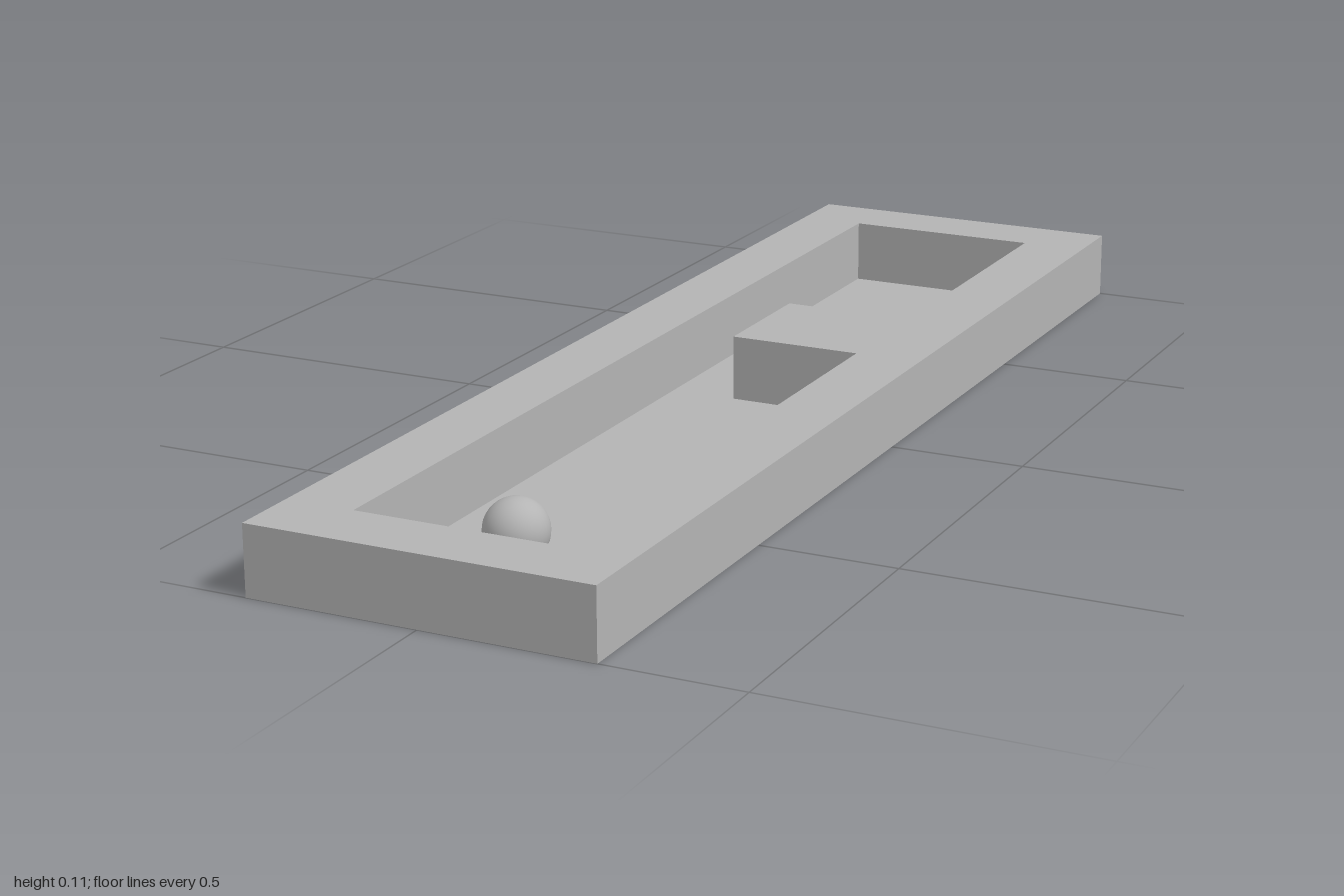
import * as THREE from 'three';

export function createModel() {
  const group = new THREE.Group();
  const grey = new THREE.MeshStandardMaterial({ color: 0xb4b4b4 });
  grey.name = 'grey';

  const u = 1 / 9; // one course unit
  const floorThickness = 0.003;

  const add = (name, geometry, x, y, z) => {
    const mesh = new THREE.Mesh(geometry, grey);
    mesh.name = name;
    mesh.position.set(x, y, z);
    group.add(mesh);
  };
  const points = (list) => list.map(([x, z]) => new THREE.Vector2(x * u, -z * u));

  // Thin floor under the whole tray
  add('floor', new THREE.BoxGeometry(5 * u, floorThickness, 18 * u), 0, floorThickness / 2, 0);

  // Surrounding wall with a square obstacle jutting into the lane from one side
  const wall = new THREE.Shape(points([[-2.5, 9], [2.5, 9], [2.5, -9], [-2.5, -9]]));
  wall.holes.push(new THREE.Path(points([
    [-1.5, 8], [-1.5, -8], [1.5, -8], [1.5, -3],
    [-0.5, -3], [-0.5, -1], [1.5, -1], [1.5, 8],
  ])));
  const wallGeometry = new THREE.ExtrudeGeometry(wall, { depth: u - floorThickness, bevelEnabled: false });
  wallGeometry.rotateX(-Math.PI / 2);
  add('wallWithObstacle', wallGeometry, 0, floorThickness, 0);

  // Ball resting near the front end
  add('ball', new THREE.SphereGeometry(0.05, 32, 20), 0, 0.053, 6.5 * u);

  return group;
}
